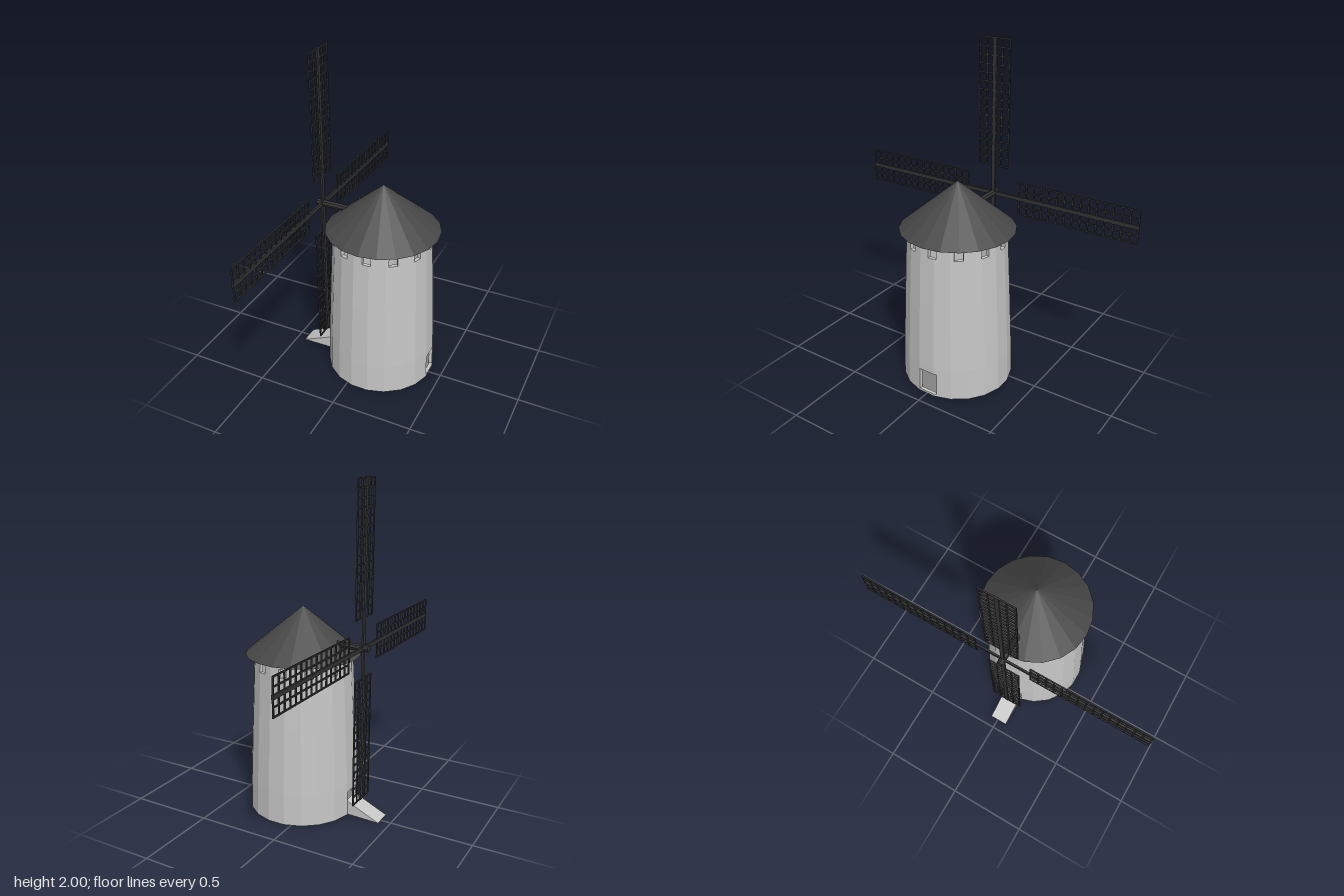
import * as THREE from 'three';

const DEG = Math.PI / 180;
const SIDES = 20, STEP = 360 / SIDES;
const CX = 0.092;   // tower axis
const WALL = 0.022; // wall thickness

const stone = new THREE.MeshStandardMaterial({ color: 0xc6c6c6 });
stone.name = 'pale stone';
const floorGrey = new THREE.MeshStandardMaterial({ color: 0x828282 });
floorGrey.name = 'floor grey';
const slate = new THREE.MeshStandardMaterial({ color: 0x484848 });
slate.name = 'dark slate';
const timber = new THREE.MeshStandardMaterial({ color: 0x333333 });
timber.name = 'black timber';
for (const m of [stone, floorGrey, slate, timber]) m.flatShading = true;

function part(name, geometry, material, x = 0, y = 0, z = 0) {
  const mesh = new THREE.Mesh(geometry, material);
  mesh.name = name;
  mesh.position.set(x, y, z);
  return mesh;
}

// Openings as [fromAngle, toAngle, bottom, top]; angle runs from +z towards +x
const openings = [[81.4, 102.1, 0.02, 0.16], [261.4, 282.1, 0.02, 0.16]];
for (let k = 0; k < 12; k++) {
  const a = 6.3 + 30 * k;
  openings.push([a - 4.9, a + 4.9, 0.9, 0.95]);
}

// Outer radius of the tower by height
const profile = [[0, 0.334], [0.2, 0.33], [0.6, 0.312], [0.985, 0.293]];
function radiusAt(y) {
  for (let i = 1; i < profile.length; i++) {
    const [y0, r0] = profile[i - 1], [y1, r1] = profile[i];
    if (y <= y1) return r0 + (r1 - r0) * (y - y0) / (y1 - y0);
  }
  return profile[profile.length - 1][1];
}

// Hollow faceted wall: a grid of cells, leaving out those inside an opening
function wallGeometry() {
  const ascending = (a, b) => a - b;
  const angles = [], levels = profile.map((p) => p[0]);
  for (let i = 0; i < SIDES; i++) angles.push(STEP * (i + 0.5));
  for (const o of openings) { angles.push(o[0], o[1]); levels.push(o[2], o[3]); }
  const A = [...new Set(angles)].sort(ascending);
  const Y = [...new Set(levels)].sort(ascending);
  const n = A.length, rows = Y.length - 1;

  const point = (i, j, inner) => {
    const a = A[(i + n) % n];
    const off = ((a + STEP / 2) % STEP) - STEP / 2; // angle from the facet middle
    const flat = Math.cos(STEP / 2 * DEG) / Math.cos(off * DEG);
    const r = (radiusAt(Y[j]) - (inner ? WALL : 0)) * flat;
    const x = r * Math.sin(a * DEG), z = r * Math.cos(a * DEG);
    const y = j === 0 ? 0.01 + 0.018 * z - 0.01 * x : Y[j]; // slightly uneven foot
    return [x, y, z];
  };
  const solid = (i, j) => {
    if (j < 0 || j >= rows) return false;
    const k = (i + n) % n;
    const next = k + 1 < n ? A[k + 1] : A[0] + 360;
    const mid = (A[k] + next) / 2 % 360, y = (Y[j] + Y[j + 1]) / 2;
    return !openings.some((o) => mid > o[0] && mid < o[1] && y > o[2] && y < o[3]);
  };

  const pos = [];
  const quad = (a, b, c, d) => pos.push(...a, ...b, ...c, ...a, ...c, ...d);
  for (let i = 0; i < n; i++) {
    for (let j = 0; j < rows; j++) {
      if (!solid(i, j)) continue;
      const [a, b, c, d] = [[i, j], [i + 1, j], [i + 1, j + 1], [i, j + 1]].map(([u, v]) => point(u, v, false));
      const [e, f, g, h] = [[i, j], [i + 1, j], [i + 1, j + 1], [i, j + 1]].map(([u, v]) => point(u, v, true));
      quad(a, b, c, d);
      quad(f, e, h, g);
      if (!solid(i, j - 1)) quad(e, f, b, a);
      if (!solid(i, j + 1)) quad(d, c, g, h);
      if (!solid(i - 1, j)) quad(e, a, d, h);
      if (!solid(i + 1, j)) quad(b, f, g, c);
    }
  }
  const geometry = new THREE.BufferGeometry();
  geometry.setAttribute('position', new THREE.Float32BufferAttribute(pos, 3));
  geometry.computeVertexNormals();
  return geometry;
}

// One arm pointing up, with its lattice
function createSail() {
  const sail = new THREE.Group();
  sail.name = 'sail';
  const inner = 0.18, outer = 0.94, half = 0.1, bar = 0.008;
  sail.add(part('arm', new THREE.BoxGeometry(0.012, 0.945, 0.024), timber, 0, 0.4725, 0));
  const rail = new THREE.BoxGeometry(bar, outer - inner, bar);
  for (const z of [-half, -half / 2, half / 2, half]) {
    sail.add(part('latticeRail', rail, timber, 0, (inner + outer) / 2, z));
  }
  const rung = new THREE.BoxGeometry(bar, bar, half * 2 + bar);
  for (let i = 0; i <= 15; i++) {
    sail.add(part('latticeRung', rung, timber, 0, inner + (outer - inner) * i / 15, 0));
  }
  return sail;
}

export function createModel() {
  const model = new THREE.Group();
  model.name = 'windmill';

  // Tower with doorways and a ring of small windows
  model.add(part('towerWall', wallGeometry(), stone, CX, 0, 0));
  const floor = part('floor', new THREE.CylinderGeometry(0.312, 0.312, 0.006, SIDES, 1, false, STEP / 2 * DEG), floorGrey, CX, 0.013, 0);
  floor.rotation.set(-0.018, 0, -0.01);
  model.add(floor);

  // Conical roof
  model.add(part('roof', new THREE.ConeGeometry(0.342, 0.285, SIDES), slate, CX, 1.1185, -0.005));

  // Wedge ramp up to the rear doorway
  const wedge = new THREE.Shape();
  wedge.moveTo(-0.44, 0.01);
  wedge.lineTo(-0.225, 0.015);
  wedge.lineTo(-0.225, 0.102);
  wedge.lineTo(-0.24, 0.1);
  wedge.closePath();
  model.add(part('ramp', new THREE.ExtrudeGeometry(wedge, { depth: 0.115, bevelEnabled: false }), stone, 0, 0, -0.05));

  // Shaft and four sails
  const shaft = part('shaft', new THREE.CylinderGeometry(0.021, 0.021, 0.335, 8), timber, -0.1675, 1.055, 0);
  shaft.rotation.z = Math.PI / 2;
  model.add(shaft);
  const sails = new THREE.Group();
  sails.name = 'sails';
  sails.position.set(-0.3, 1.055, 0);
  sails.rotation.x = 0.004;
  for (let i = 0; i < 4; i++) {
    const sail = createSail();
    sail.rotation.x = i * Math.PI / 2;
    sails.add(sail);
  }
  model.add(sails);
  return model;
}
